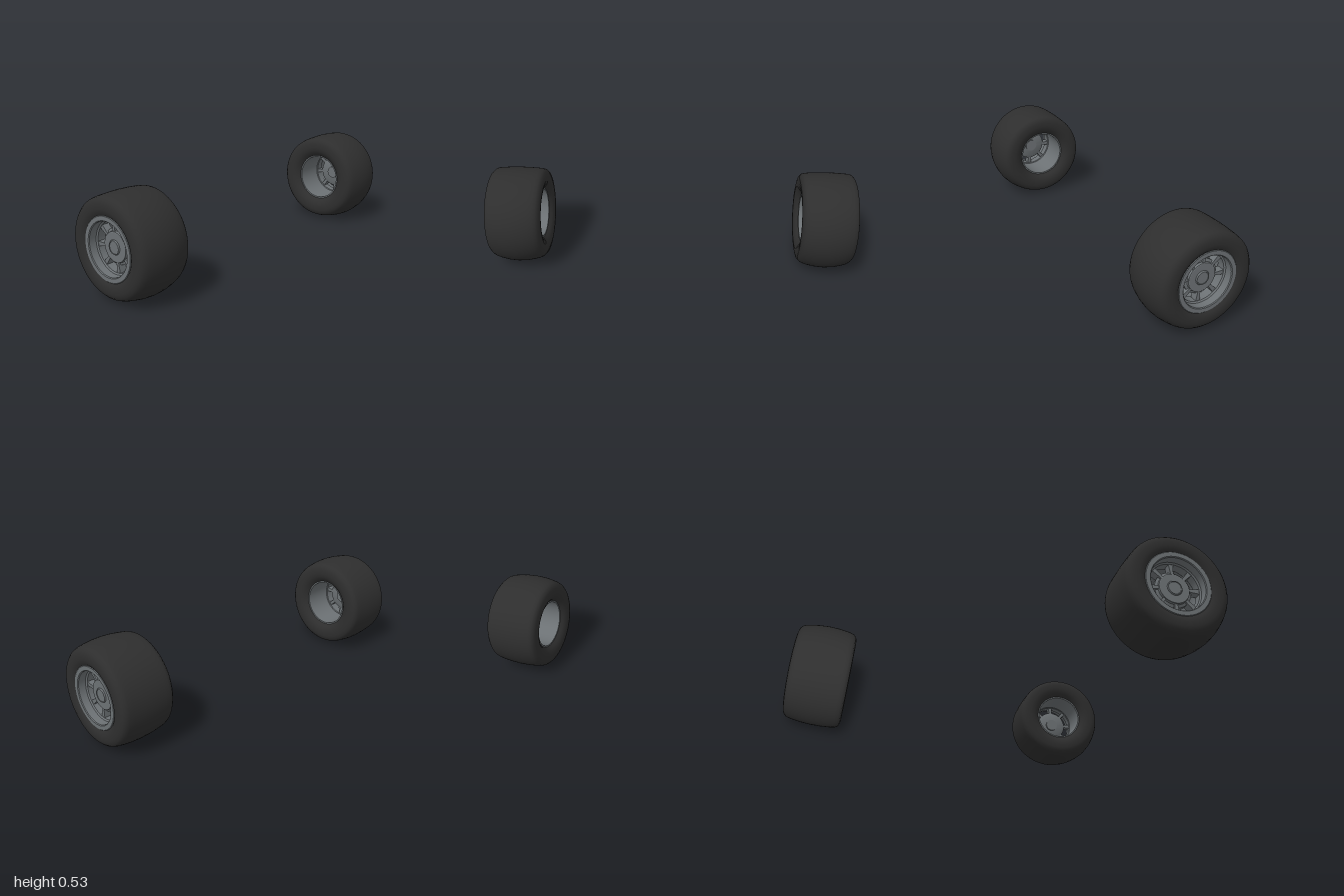
import * as THREE from 'three';
import { toCreasedNormals } from 'three/addons/utils/BufferGeometryUtils.js';

const rubber = new THREE.MeshStandardMaterial({ name: 'black rubber', color: 0x2e2e2e });
const metal = new THREE.MeshStandardMaterial({ name: 'grey metal', color: 0x6c7174 });

// Lathe around z; each profile point is [radius, z], running from back to front on the outside.
function turned(profile, crease, segments = 72) {
  const points = profile.map(([r, z]) => new THREE.Vector2(r, z));
  const g = new THREE.LatheGeometry(points, segments);
  g.rotateX(Math.PI / 2);
  return crease ? toCreasedNormals(g, crease) : g;
}

function part(name, geometry, material) {
  const mesh = new THREE.Mesh(geometry, material);
  mesh.name = name;
  return mesh;
}

// Fat tyre whose crowned tread leans slightly down and to one side.
function tyreGeometry(side) {
  const g = turned([
    [0.134, -0.118], [0.142, -0.126], [0.155, -0.138], [0.172, -0.147], [0.192, -0.15],
    [0.215, -0.149], [0.234, -0.144], [0.246, -0.132], [0.252, -0.116], [0.257, -0.09],
    [0.262, -0.05], [0.2645, 0], [0.262, 0.05], [0.257, 0.09], [0.252, 0.116],
    [0.246, 0.132], [0.234, 0.144], [0.215, 0.149], [0.192, 0.15], [0.172, 0.146], [0.155, 0.134],
  ], 0);
  const p = g.attributes.position;
  for (let i = 0; i < p.count; i++) {
    const r = Math.hypot(p.getX(i), p.getY(i));
    if (r < 0.24) continue;
    const lean = 1 - (p.getZ(i) / 0.135) ** 2;
    p.setX(i, p.getX(i) + side * 0.0105 * lean);
    p.setY(i, p.getY(i) - 0.005 * lean);
  }
  return toCreasedNormals(g, 1);
}

// Wedge-shaped spoke with one edge on a radius.
function spokeGeometry(start, sweep) {
  const shape = new THREE.Shape();
  const at = (r, a) => [r * Math.cos(a), r * Math.sin(a)];
  shape.moveTo(...at(0.07, start));
  shape.lineTo(...at(0.132, start));
  shape.lineTo(...at(0.132, start + sweep));
  shape.lineTo(...at(0.07, start + sweep));
  shape.closePath();
  const g = new THREE.ExtrudeGeometry(shape, { depth: 0.038, bevelEnabled: false });
  g.translate(0, 0, 0.054);
  return g;
}

// side is 1 for the front wheel, -1 for the back wheel
function wheel(name, side) {
  const group = new THREE.Group();
  group.name = name;
  group.add(part('tyre', tyreGeometry(side), rubber));

  // Barrel with a wide front flange and a thin back lip
  group.add(part('rim', turned([
    [0.131, -0.124], [0.139, -0.124], [0.139, -0.11], [0.136, -0.1], [0.136, 0.105],
    [0.162, 0.125], [0.162, 0.139], [0.159, 0.142], [0.138, 0.142], [0.134, 0.138],
    [0.133, 0.1], [0.126, 0.094], [0.126, 0.05], [0.13, 0.045], [0.131, -0.124],
  ], 0.5), metal));

  // Stepped hub and raised centre cap
  group.add(part('hub', turned([
    [0, 0.045], [0.07, 0.045], [0.09, 0.055], [0.09, 0.08], [0.077, 0.085],
    [0.075, 0.096], [0.072, 0.098], [0, 0.098],
  ], 0.5, 48), metal));
  group.add(part('centreCap', turned([
    [0, 0.035], [0.036, 0.035], [0.037, 0.1], [0.034, 0.105], [0.031, 0.105], [0.03, 0.103], [0, 0.103],
  ], 0.5, 40), metal));

  const sweep = THREE.MathUtils.degToRad(10.5);
  for (let i = 0; i < 8; i++) {
    const start = i * Math.PI / 4 - (side < 0 ? sweep : 0);
    group.add(part('spoke', spokeGeometry(start, sweep), metal));
  }
  return group;
}

export function createModel() {
  const model = new THREE.Group();
  model.name = 'wheelPair';
  const front = wheel('frontWheel', 1);
  front.position.set(-0.003, 0.27, 0.85);
  const back = wheel('backWheel', -1);
  back.position.set(-0.02, 0.27, -0.85);
  back.rotation.y = Math.PI;
  model.add(front, back);
  return model;
}
